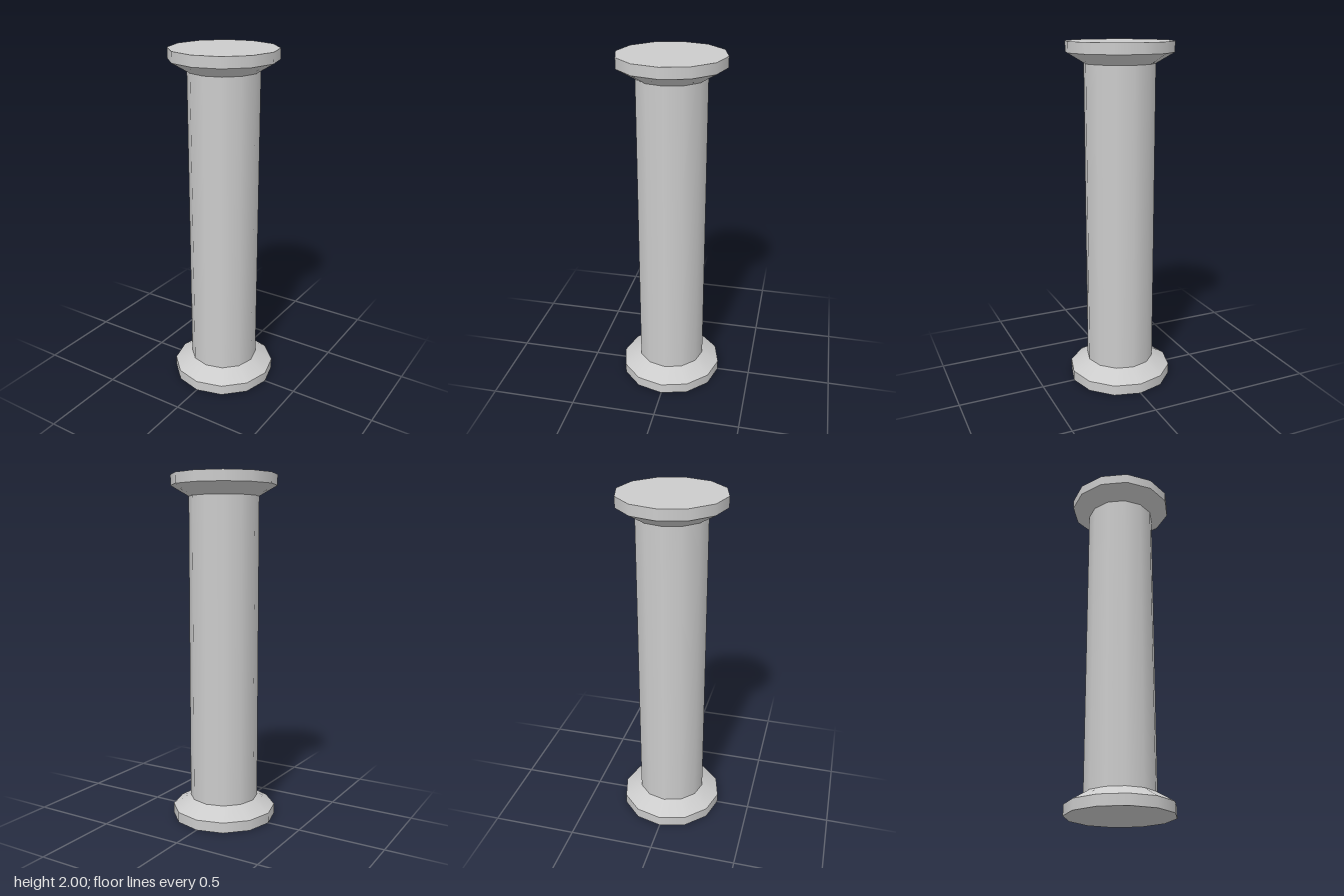
import * as THREE from 'three';

const SIDES = 12;
const SHAFT_R = 0.2, RIM_R = 0.303;
const RIM_Y = 0.06, FLARE_Y = 0.12, HEIGHT = 2;

const material = new THREE.MeshStandardMaterial({ color: 0xcccccc });

// Smooth open band between two heights; separate bands keep the ring edges crisp
function band(name, y0, r0, y1, r1) {
  const geometry = new THREE.CylinderGeometry(r1, r0, y1 - y0, SIDES, 1, true);
  geometry.translate(0, (y0 + y1) / 2, 0);
  const mesh = new THREE.Mesh(geometry, material);
  mesh.name = name;
  return mesh;
}

// Flat disc closing an end, facing up or down
function disc(name, y, up) {
  const geometry = new THREE.CircleGeometry(RIM_R, SIDES);
  geometry.rotateX(up ? -Math.PI / 2 : Math.PI / 2);
  geometry.translate(0, y, 0);
  const mesh = new THREE.Mesh(geometry, material);
  mesh.name = name;
  return mesh;
}

export function createModel() {
  const column = new THREE.Group();
  column.name = 'column';

  // Base: plinth rim and the slope up to the shaft
  const base = new THREE.Group();
  base.name = 'base';
  base.add(
    disc('baseUnderside', 0, false),
    band('baseRim', 0, RIM_R, RIM_Y, RIM_R),
    band('baseFlare', RIM_Y, RIM_R, FLARE_Y, SHAFT_R),
  );

  // Capital: the base's mirror image at the top
  const capital = new THREE.Group();
  capital.name = 'capital';
  capital.add(
    band('capitalFlare', HEIGHT - FLARE_Y, SHAFT_R, HEIGHT - RIM_Y, RIM_R),
    band('capitalRim', HEIGHT - RIM_Y, RIM_R, HEIGHT, RIM_R),
    disc('capitalTop', HEIGHT, true),
  );

  // Shaft
  column.add(base, band('shaft', FLARE_Y, SHAFT_R, HEIGHT - FLARE_Y, SHAFT_R), capital);
  return column;
}
